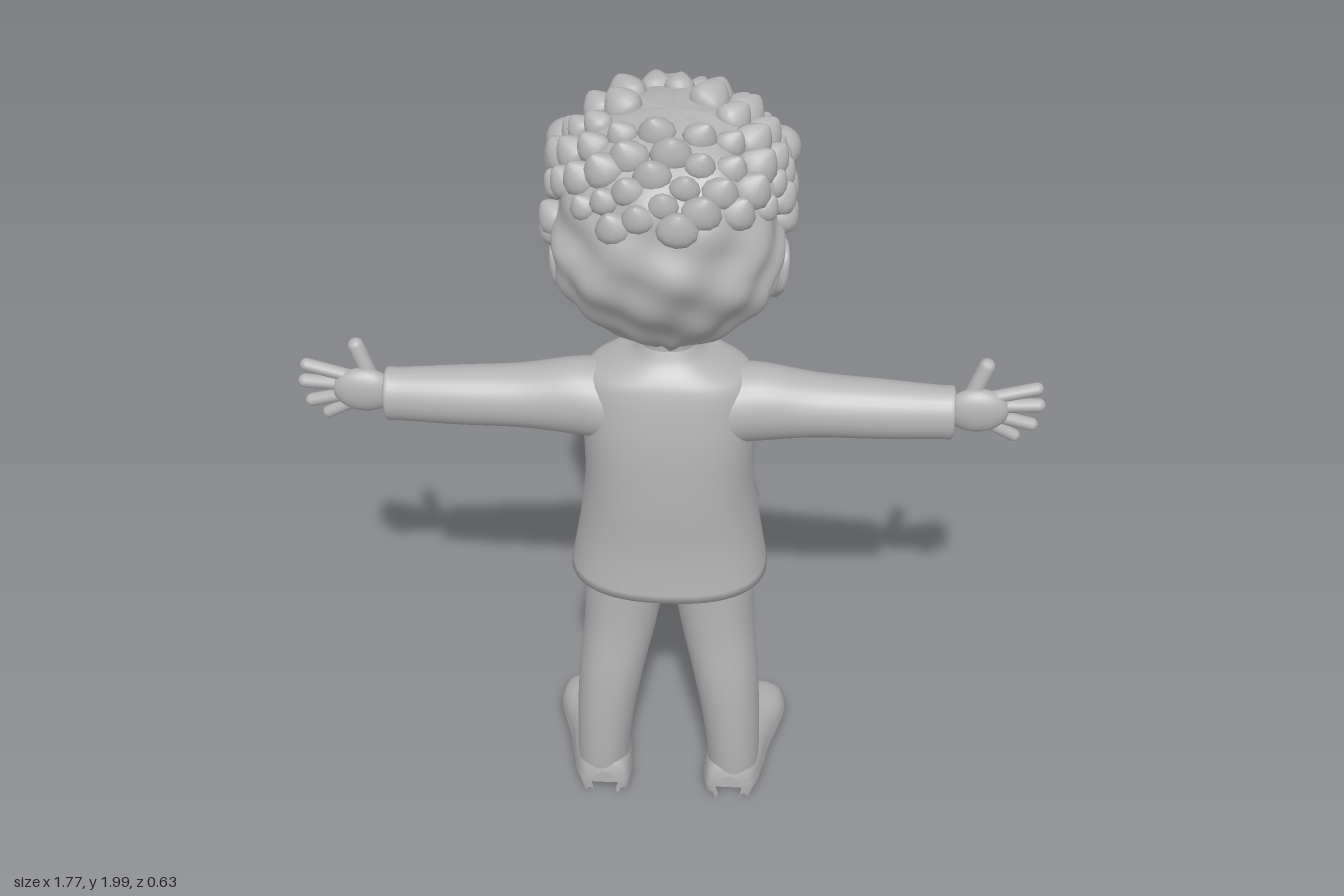
import * as THREE from 'three';
import { mergeGeometries } from 'three/addons/utils/BufferGeometryUtils.js';

const V = (x, y, z) => new THREE.Vector3(x, y, z);
const grey = new THREE.MeshStandardMaterial({ color: 0xb3b3b3, side: THREE.DoubleSide });
grey.name = 'plain grey';

function add(parent, name, geometry) {
  const mesh = new THREE.Mesh(geometry, grey);
  mesh.name = name;
  parent.add(mesh);
  return mesh;
}

// Smooth sampling of a table of sections; column 0 is the position along the axis
function sample(table, s) {
  const f = s * (table.length - 1), i = Math.min(Math.floor(f), table.length - 2), t = f - i;
  const at = k => table[Math.max(0, Math.min(table.length - 1, k))];
  return table[0].map((_, c) => {
    const [a, b, d, e] = [at(i - 1)[c], at(i)[c], at(i + 1)[c], at(i + 2)[c]];
    return b + 0.5 * t * (d - a + t * (2 * a - 5 * b + 4 * d - e + t * (3 * (b - d) + e - a)));
  });
}
function sampleAt(table, v) {
  let lo = 0, hi = 1;
  for (let k = 0; k < 24; k++) {
    const m = (lo + hi) / 2;
    if ((sample(table, m)[0] - v) * Math.sign(table.at(-1)[0] - table[0][0]) < 0) lo = m; else hi = m;
  }
  return sample(table, lo);
}

// Skin over rows of points; closed rows wrap around and caps fill both ends
function skin(rows, closed = true, caps = closed) {
  const n = rows[0].length, pos = [], idx = [];
  rows.forEach(r => r.forEach(p => pos.push(p.x, p.y, p.z)));
  for (let i = 0; i < rows.length - 1; i++)
    for (let j = 0; j < (closed ? n : n - 1); j++) {
      const a = i * n + j, b = i * n + (j + 1) % n;
      idx.push(a, a + n, b, b, a + n, b + n);
    }
  if (caps) [0, rows.length - 1].forEach((r, e) => {
    const c = rows[r].reduce((s, p) => s.add(p), V(0, 0, 0)).divideScalar(n), base = pos.length / 3;
    pos.push(c.x, c.y, c.z);
    rows[r].forEach(p => pos.push(p.x, p.y, p.z));
    for (let j = 0; j < n; j++) {
      const a = base + 1 + j, b = base + 1 + (j + 1) % n;
      e ? idx.push(base, b, a) : idx.push(base, a, b);
    }
  });
  const g = new THREE.BufferGeometry();
  g.setAttribute('position', new THREE.Float32BufferAttribute(pos, 3));
  g.setIndex(idx);
  g.computeVertexNormals();
  return g;
}

// Horizontal section [y, halfWidth, zFront, zBack, xCentre]; angle 0 faces the front
function sectionPoint([y, rx, zf, zb, cx = 0], a, p = 2) {
  const pw = v => Math.sign(v) * Math.abs(v) ** (2 / p);
  return V(cx + rx * pw(Math.sin(a)), y, (zf + zb) / 2 - (zb - zf) / 2 * pw(Math.cos(a)));
}
function upright(table, p = 2, steps = 32, n = 40, bump = () => 0) {
  const rows = [];
  for (let i = 0; i <= steps; i++) {
    const s = sample(table, i / steps);
    rows.push(Array.from({ length: n }, (_, j) => {
      const a = j / n * Math.PI * 2, q = sectionPoint(s, a, p), b = bump(s[0], a);
      return q.add(V(Math.sin(a) * b, 0, -Math.cos(a) * b));
    }));
  }
  return skin(rows);
}
function blob(x, y, z, rx, ry = rx, rz = rx, tilt = 0) {
  return new THREE.SphereGeometry(1, 24, 16).scale(rx, ry, rz).rotateZ(tilt).translate(x, y, z);
}
function tube(points, r, closed = false, seg = 32) {
  return new THREE.TubeGeometry(new THREE.CatmullRomCurve3(points.map(p => V(...p)), closed), seg, r, 8, closed);
}
function finger(a, b, r) {
  const d = V(...b).sub(V(...a)), g = new THREE.CapsuleGeometry(r, d.length(), 6, 12);
  g.applyQuaternion(new THREE.Quaternion().setFromUnitVectors(V(0, 1, 0), d.clone().normalize()));
  return g.translate((a[0] + b[0]) / 2, (a[1] + b[1]) / 2, (a[2] + b[2]) / 2);
}

const JACKET = [
  [0.715, 0.245, -0.14, 0.222], [0.85, 0.222, -0.147, 0.214], [1.0, 0.205, -0.14, 0.218],
  [1.15, 0.205, -0.1, 0.214], [1.25, 0.205, -0.072, 0.2], [1.31, 0.195, -0.055, 0.185],
  [1.34, 0.15, -0.048, 0.17], [1.37, 0.09, -0.035, 0.145], [1.4, 0.07, -0.025, 0.13]];
const OPENING = [[0.715, 0.15], [0.78, 0.095], [0.9, 0.078], [1.05, 0.08], [1.2, 0.088], [1.33, 0.06], [1.4, 0.05]];
const HAIR = [
  [1.41, 0.05, 0.06, 0.13], [1.46, 0.13, 0.06, 0.185], [1.54, 0.2, 0.07, 0.245], [1.62, 0.238, 0.05, 0.29],
  [1.69, 0.252, -0.04, 0.308], [1.75, 0.256, -0.17, 0.303], [1.82, 0.25, -0.215, 0.285],
  [1.88, 0.222, -0.205, 0.25], [1.93, 0.16, -0.16, 0.18], [1.953, 0.08, -0.09, 0.1], [1.96, 0.01, -0.01, 0.02]];

function jacket(parent) {
  const rows = [], edgeAngle = s => {
    const open = Math.min(sampleAt(OPENING, s[0])[1], s[1] * 0.8);
    return Math.asin((open / s[1]) ** 1.2);
  };
  for (let i = 0; i <= 36; i++) {
    const s = sample(JACKET, i / 36), a0 = edgeAngle(s), row = [];
    for (let j = 0; j <= 56; j++) row.push(sectionPoint(s, a0 + (Math.PI * 2 - 2 * a0) * j / 56, 2.4));
    row.unshift(row[0].clone().add(V(0.004, 0, 0.03)));
    row.push(row.at(-1).clone().add(V(-0.004, 0, 0.03)));
    rows.push(row);
  }
  rows.unshift(rows[0].map(p => V(p.x * 0.93, p.y + 0.012, 0.04 + (p.z - 0.04) * 0.93)));
  add(parent, 'jacket', skin(rows, false));

  for (const side of [1, -1]) {
    // Lapel follows the jacket surface beside the opening
    const lapel = [];
    for (let i = 0; i <= 20; i++) {
      const t = i / 20, s = sampleAt(JACKET, 1.345 - 0.36 * t), a0 = edgeAngle(s);
      const w = 0.075 * Math.min(1, 0.55 + t * 1.2) * Math.min(1, (1 - t) * 1.7) + 0.004;
      const a1 = Math.asin(Math.min(0.99, ((s[1] * Math.sin(a0) ** (1 / 1.2) + w) / s[1]) ** 1.2));
      lapel.push([[a0, 0.01], [a0, -0.014], [(a0 + a1) / 2, -0.018], [a1, -0.014], [a1, 0.004]].map(([a, o]) => {
        const q = sectionPoint(s, a, 2.4);
        return V(q.x * side, q.y, q.z + o);
      }));
    }
    add(parent, 'lapel', skin(lapel, false));
    // Pocket flap
    const flap = [0.9, 0.86, 0.835].map((y, k) => [0.5, 0.65, 0.8, 0.95].map(a => {
      const q = sectionPoint(sampleAt(JACKET, y), a + 0.25, 2.4);
      return V((q.x + 0.006 + k * 0.003) * side, y, q.z - 0.006 - k * 0.003);
    }));
    add(parent, 'pocketFlap', skin(flap, false));
  }
}

function clothes(parent) {
  jacket(parent);
  // Shirt and belt sit just inside the jacket
  const inset = (y, d) => { const s = sampleAt(JACKET, y); return [y, s[1] - d, s[2] + d + 0.012, s[3] - d]; };
  add(parent, 'shirt', upright([0.84, 0.92, 1.0, 1.1, 1.2, 1.28, 1.33, 1.36].map(y => inset(y, 0.018)), 2.2));
  add(parent, 'belt', upright([0.845, 0.85, 0.885, 0.89].map(y => inset(y, 0.014)), 2.2, 6));
  add(parent, 'buckle', new THREE.BoxGeometry(0.06, 0.045, 0.02).translate(0, 0.868, -0.126));
  add(parent, 'hips', upright([[0.69, 0.07, -0.03, 0.11], [0.73, 0.17, -0.085, 0.16], [0.8, 0.195, -0.1, 0.18], [0.86, 0.195, -0.108, 0.18]], 2.3));
  // Neckcloth with two hanging folds
  add(parent, 'knot', blob(0, 1.335, -0.05, 0.03, 0.028, 0.024));
  for (const s of [1, -1]) add(parent, 'neckclothFold', skin(Array.from({ length: 13 }, (_, i) => {
    const t = i / 12, y = 1.34 - 0.3 * t, z = sampleAt(JACKET, y)[2] + 0.028, w = 0.012 + 0.022 * Math.sin(Math.PI * Math.min(1, t + 0.08));
    return Array.from({ length: 10 }, (_, j) => {
      const a = j / 10 * Math.PI * 2;
      return V(s * (0.016 + 0.018 * t) + w * Math.cos(a), y, z + 0.02 * Math.sin(a));
    });
  })));
  add(parent, 'collar', skin([[1.335, 0.1, -0.055, 0.155], [1.375, 0.082, -0.045, 0.14], [1.395, 0.074, -0.035, 0.133], [1.38, 0.064, -0.02, 0.12]].map(s =>
    Array.from({ length: 33 }, (_, j) => sectionPoint(s, 0.4 + j / 32 * (Math.PI * 2 - 0.8)))), false));
  add(parent, 'neck', upright([[1.32, 0.072, -0.03, 0.13], [1.37, 0.065, -0.03, 0.12], [1.45, 0.07, -0.04, 0.12]]));
}

function limbs(parent) {
  // Sleeve sections run along x: [x, yCentre, zCentre, halfHeight, halfDepth]
  const sleeve = [[0.12, 1.225, 0.075, 0.1, 0.1], [0.22, 1.235, 0.08, 0.096, 0.088], [0.35, 1.23, 0.08, 0.078, 0.076],
    [0.5, 1.228, 0.085, 0.073, 0.068], [0.63, 1.227, 0.088, 0.067, 0.058], [0.668, 1.227, 0.088, 0.066, 0.056], [0.666, 1.227, 0.088, 0.045, 0.035]];
  add(parent, 'sleeve', skin(Array.from({ length: 31 }, (_, i) => {
    const [x, y, z, ry, rz] = sample(sleeve, i / 30);
    return Array.from({ length: 28 }, (_, j) => V(x, y + ry * Math.cos(j / 14 * Math.PI), z + rz * Math.sin(j / 14 * Math.PI)));
  })));
  add(parent, 'palm', blob(0.725, 1.23, 0.08, 0.075, 0.058, 0.032));
  for (const [a, b, r] of [
    [[0.75, 1.262, 0.075], [0.86, 1.286, 0.066], 0.016], [[0.76, 1.24, 0.075], [0.868, 1.24, 0.066], 0.017],
    [[0.76, 1.215, 0.075], [0.856, 1.186, 0.068], 0.016], [[0.74, 1.2, 0.078], [0.818, 1.154, 0.07], 0.015],
    [[0.705, 1.25, 0.07], [0.74, 1.335, 0.052], 0.02]]) add(parent, 'finger', finger(a, b, r));

  add(parent, 'trouserLeg', upright([
    [0.05, 0.066, 0.005, 0.175, 0.172], [0.12, 0.069, -0.005, 0.182, 0.172], [0.26, 0.076, -0.015, 0.185, 0.162],
    [0.4, 0.085, -0.03, 0.182, 0.145], [0.55, 0.094, -0.055, 0.17, 0.122], [0.7, 0.104, -0.08, 0.168, 0.108], [0.84, 0.1, -0.09, 0.165, 0.1]], 2.2));

  // Shoe sections run along z: [z, xCentre, halfWidth, top]
  const shoe = [[0.182, 0.165, 0.03, 0.08], [0.165, 0.167, 0.062, 0.12], [0.1, 0.175, 0.075, 0.14], [0.02, 0.188, 0.078, 0.145],
    [-0.05, 0.208, 0.08, 0.125], [-0.12, 0.226, 0.08, 0.11], [-0.18, 0.237, 0.062, 0.09], [-0.203, 0.24, 0.035, 0.068], [-0.21, 0.24, 0.01, 0.055]];
  add(parent, 'shoe', skin(Array.from({ length: 37 }, (_, i) => {
    const [z, x, w, top] = sample(shoe, i / 36);
    return Array.from({ length: 28 }, (_, j) => {
      const a = j / 14 * Math.PI;
      return V(x + w * Math.cos(a), 0.042 + (top - 0.042) * Math.max(0, Math.sin(a)) ** 0.85, z);
    });
  })));
  // Ragged sole rim, deepest around the heel
  const rim = [[], [], []], n = 64;
  for (let j = 0; j <= n; j++) {
    const u = j / n * 2, [z, x, w] = sample(shoe, u <= 1 ? u : 2 - u), sx = u <= 1 ? 1 : -1;
    const heel = THREE.MathUtils.clamp((z + 0.02) / 0.08, 0, 1);
    rim[0].push(V(x + sx * w, 0.055, z));
    rim[1].push(V(x + sx * (w + 0.004), 0.04, z));
    rim[2].push(V(x + sx * w * 0.93, 0.028 - heel * (j % 3 ? 0.012 : 0.028), z));
  }
  add(parent, 'soleRim', skin(rim, false));
}

function head(parent) {
  add(parent, 'face', upright([
    [1.375, 0.03, -0.11, -0.05], [1.385, 0.1, -0.155, 0.02], [1.42, 0.175, -0.185, 0.09], [1.5, 0.222, -0.2, 0.15],
    [1.58, 0.233, -0.183, 0.18], [1.66, 0.238, -0.178, 0.2], [1.78, 0.225, -0.165, 0.2], [1.88, 0.12, -0.08, 0.12]], 2.15));
  add(parent, 'nose', blob(0, 1.525, -0.212, 0.036, 0.034, 0.034));
  add(parent, 'hairCap', upright(HAIR, 2, 56, 72, (y, a) =>
    0.006 * Math.sin(a * 9 + y * 22) + 0.005 * Math.sin(a * 5 - y * 45)));

  // Pointed tufts spread over the crown, leaving the back of the head smooth
  const tufts = [];
  for (let i = 0; i < 115; i++) {
    const y = 1.7 + 0.252 * (i + 0.5) / 115, a = i * 2.39996, s = sampleAt(HAIR, y), q = sectionPoint(s, a);
    if (q.z > 0.12 && y < 1.8) continue;
    if (q.z < -0.08 && Math.abs(q.x) < 0.2 && y < 1.74) continue;
    const g = new THREE.SphereGeometry(1, 12, 10), p = g.attributes.position;
    for (let k = 0; k < p.count; k++) {
      const t = Math.max(0, p.getY(k)), f = 1 - 0.35 * t * t;
      p.setXYZ(k, p.getX(k) * f, p.getY(k) * (1 + 0.25 * t), p.getZ(k) * f - 0.3 * t * t);
    }
    const size = 0.036 + 0.006 * Math.sin(i * 7.3), up = 0.75;
    g.scale(size * 1.15, size, size * 0.9);
    g.applyQuaternion(new THREE.Quaternion().setFromUnitVectors(V(0, 1, 0), V(Math.sin(a) * 0.7, up, -Math.cos(a) * 0.7 - 0.1).normalize()));
    g.translate(q.x * 0.97, Math.min(q.y, 1.95), q.z * 0.97);
    g.computeVertexNormals();
    tufts.push(g);
  }
  add(parent, 'hairTufts', mergeGeometries(tufts));

  // Heavy curls over the forehead
  for (const [x, y, z, r] of [[-0.02, 1.845, -0.235, 0.072], [0.08, 1.815, -0.235, 0.062], [-0.11, 1.815, -0.215, 0.062],
    [0.03, 1.77, -0.25, 0.056], [-0.06, 1.765, -0.24, 0.05], [0.16, 1.78, -0.19, 0.056], [-0.17, 1.77, -0.185, 0.056],
    [0.235, 1.78, -0.15, 0.058], [-0.24, 1.785, -0.15, 0.058], [0.24, 1.73, -0.06, 0.035], [-0.24, 1.73, -0.06, 0.035]])
    add(parent, 'foreheadCurl', blob(x, y, z, r, r * 0.9, r, x * 3));
  add(parent, 'curlSwirl', new THREE.TorusGeometry(0.04, 0.022, 10, 28, 5).translate(0.04, 1.785, -0.28));

  for (const s of [1, -1]) {
    add(parent, 'ear', blob(s * 0.232, 1.565, 0.03, 0.028, 0.07, 0.042, s * -0.15));
    add(parent, 'earRim', tube([[s * 0.24, 1.5, 0.02], [s * 0.256, 1.55, 0.062], [s * 0.262, 1.615, 0.055], [s * 0.255, 1.635, 0.015], [s * 0.238, 1.61, -0.01]], 0.012));
    add(parent, 'eye', blob(s * 0.085, 1.6, -0.158, 0.04, 0.045, 0.02));
    // Glasses: a rounded square frame swept back at its outer side
    const rim = Array.from({ length: 16 }, (_, k) => {
      const a = k / 8 * Math.PI, f = v => Math.sign(v) * Math.abs(v) ** 0.65, dx = 0.074 * f(Math.cos(a));
      return [s * (0.094 + dx), 1.6 + 0.07 * f(Math.sin(a)), -0.208 + 0.18 * Math.max(0, dx) + 0.04 * Math.sin(a) * 0.2];
    });
    add(parent, 'glassesRim', tube(rim, 0.0105, true, 64));
    add(parent, 'glassesTemple', tube([[s * 0.168, 1.63, -0.195], [s * 0.215, 1.63, -0.15], [s * 0.243, 1.63, -0.06], [s * 0.245, 1.625, 0.01]], 0.009));
  }
  add(parent, 'glassesBridge', tube([[-0.025, 1.61, -0.208], [0, 1.618, -0.213], [0.025, 1.61, -0.208]], 0.009, false, 10));
}

export function createModel() {
  const model = new THREE.Group();
  model.name = 'figure';
  for (const [name, side] of [['leftLimbs', 1], ['rightLimbs', -1]]) {
    const g = new THREE.Group();
    g.name = name;
    limbs(g);
    g.scale.x = side;
    model.add(g);
  }
  for (const [name, build] of [['clothes', clothes], ['head', head]]) {
    const g = new THREE.Group();
    g.name = name;
    build(g);
    model.add(g);
  }
  return model;
}
